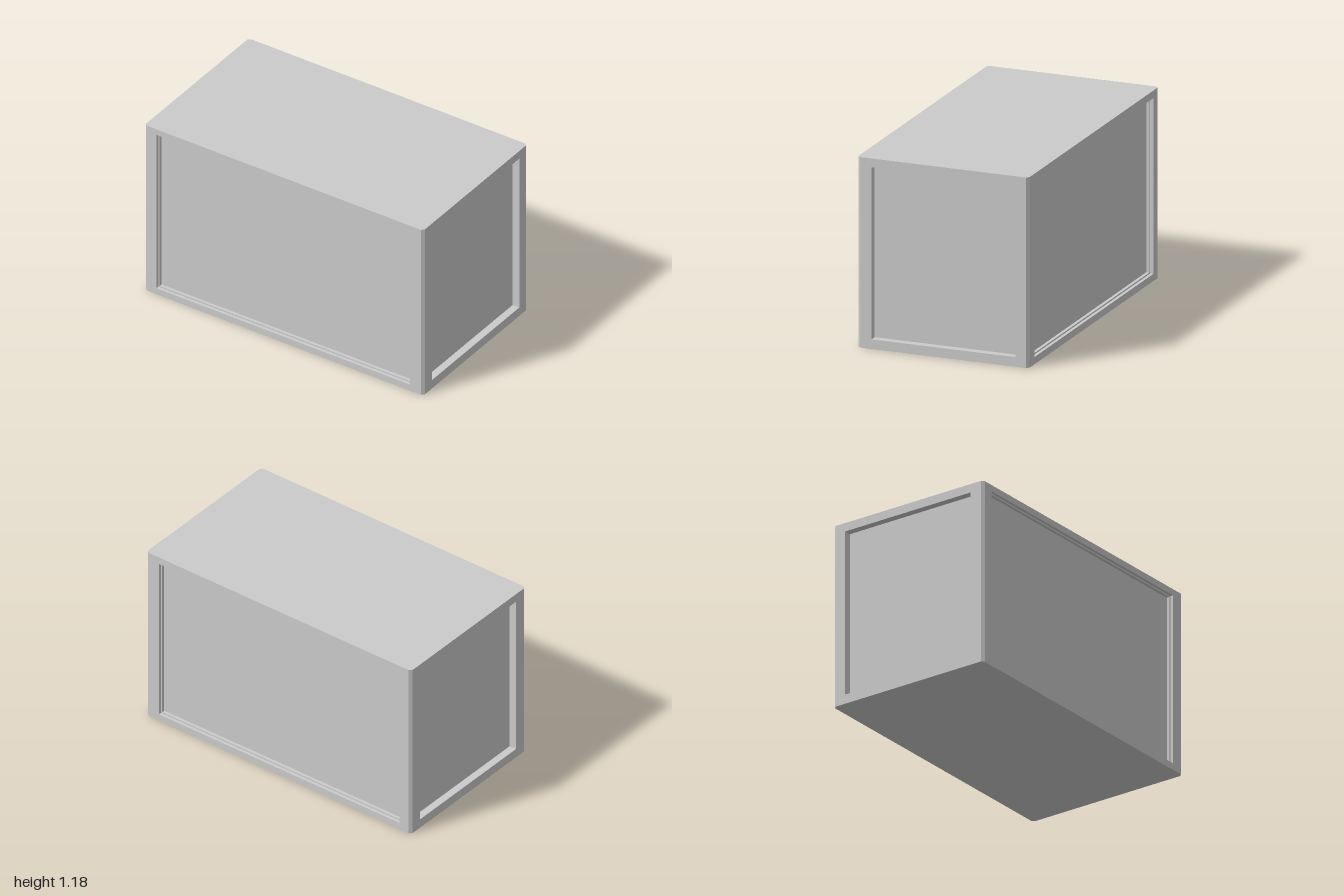
import * as THREE from 'three';

const W = 2, H = 1.185, D = 1.105, C = 0.017; // width, height, depth, corner chamfer
const material = new THREE.MeshStandardMaterial({ color: 0xcccccc, flatShading: true });

// Wall facing +z: a loft through rectangular rings [x0, x1, y0, y1, z], closed by the last one
function recessedWall(rings) {
  const pos = [], index = [];
  for (const [x0, x1, y0, y1, z] of rings) pos.push(x0, y0, z, x1, y0, z, x1, y1, z, x0, y1, z);
  for (let r = 0; r < rings.length - 1; r++) {
    for (let i = 0; i < 4; i++) {
      const a = r * 4 + i, b = r * 4 + (i + 1) % 4;
      index.push(a, b, b + 4, a, b + 4, a + 4);
    }
  }
  const e = (rings.length - 1) * 4;
  index.push(e, e + 1, e + 2, e, e + 2, e + 3);
  const geo = new THREE.BufferGeometry();
  geo.setAttribute('position', new THREE.Float32BufferAttribute(pos, 3));
  geo.setIndex(index);
  const flat = geo.toNonIndexed();
  flat.computeVertexNormals();
  return flat;
}

export function createModel() {
  const group = new THREE.Group();
  const add = (name, geo, rotY = 0) => {
    const mesh = new THREE.Mesh(geo, material);
    mesh.name = name;
    mesh.rotation.y = rotY;
    group.add(mesh);
    return mesh;
  };

  // Long walls: stepped recess
  const longWall = (x0, x1, y0, y1) => {
    const w = W / 2 - C, z = D / 2, s = 0.009;
    return recessedWall([
      [-w, w, 0, H, z],
      [x0, x1, y0, y1, z],
      [x0, x1, y0, y1, z - 0.02],
      [x0 + s, x1 - s, y0 + s, y1 - s, z - 0.02],
      [x0 + s, x1 - s, y0 + s, y1 - s, z - 0.04],
    ]);
  };
  add('frontWall', longWall(-0.915, 0.905, 0.043, 1.145));
  add('backWall', longWall(-0.905, 0.915, 0.045, 1.138), Math.PI);

  // End walls: plain recess
  const endWall = (x0, x1) => {
    const w = D / 2 - C, y0 = 0.06, y1 = 1.13, z = W / 2;
    return recessedWall([
      [-w, w, 0, H, z],
      [x0, x1, y0, y1, z],
      [x0, x1, y0, y1, z - 0.048],
    ]);
  };
  add('leftWall', endWall(-0.46, 0.467), Math.PI / 2);
  add('rightWall', endWall(-0.467, 0.46), -Math.PI / 2);

  // Chamfered vertical corners
  for (const sx of [-1, 1]) {
    for (const sz of [-1, 1]) {
      const corner = add('cornerChamfer', new THREE.PlaneGeometry(C * Math.SQRT2, H), Math.atan2(sx, sz));
      corner.position.set(sx * (W - C) / 2, H / 2, sz * (D - C) / 2);
    }
  }

  // Roof and floor: rectangle with cut corners
  const w = W / 2, d = D / 2;
  const outline = new THREE.Shape([
    [w - C, -d], [w, C - d], [w, d - C], [w - C, d],
    [C - w, d], [-w, d - C], [-w, C - d], [C - w, -d],
  ].map(([x, y]) => new THREE.Vector2(x, y)));
  add('roof', new THREE.ShapeGeometry(outline).rotateX(-Math.PI / 2).translate(0, H, 0));
  add('floor', new THREE.ShapeGeometry(outline).rotateX(Math.PI / 2));

  return group;
}
